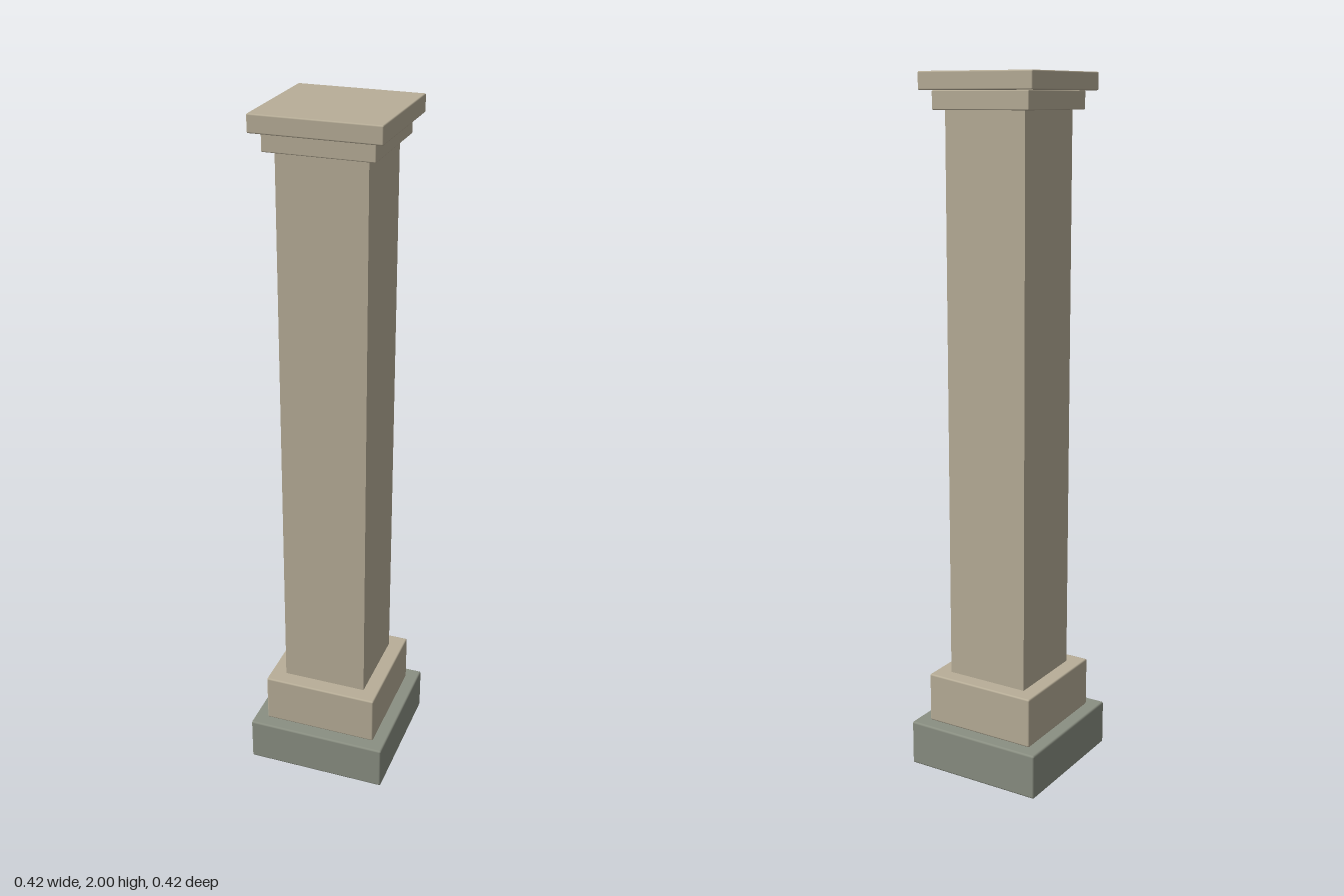
import * as THREE from 'three';
import { RoundedBoxGeometry } from 'three/addons/geometries/RoundedBoxGeometry.js';

export function createModel() {
  const group = new THREE.Group();
  const sandstone = new THREE.MeshStandardMaterial({ name: 'sandstone', color: 0xb8ae98 });
  const greyStone = new THREE.MeshStandardMaterial({ name: 'greyStone', color: 0x8a8f82 });

  // Square block between two heights; a radius softens its edges
  function block(name, width, bottom, top, radius, material) {
    const height = top - bottom;
    const geometry = radius > 0
      ? new RoundedBoxGeometry(width, height, width, 2, radius)
      : new THREE.BoxGeometry(width, height, width);
    const mesh = new THREE.Mesh(geometry, material);
    mesh.name = name;
    mesh.position.y = (bottom + top) / 2;
    group.add(mesh);
  }

  // Stacked from the ground up
  block('base', 0.42, 0, 0.133, 0.006, greyStone);
  block('plinth', 0.342, 0.133, 0.28, 0.005, sandstone);
  block('shaft', 0.25, 0.275, 1.905, 0, sandstone);
  block('capitalNeck', 0.302, 1.9, 1.951, 0.003, sandstone);
  block('capitalSlab', 0.355, 1.951, 2, 0.004, sandstone);

  return group;
}
